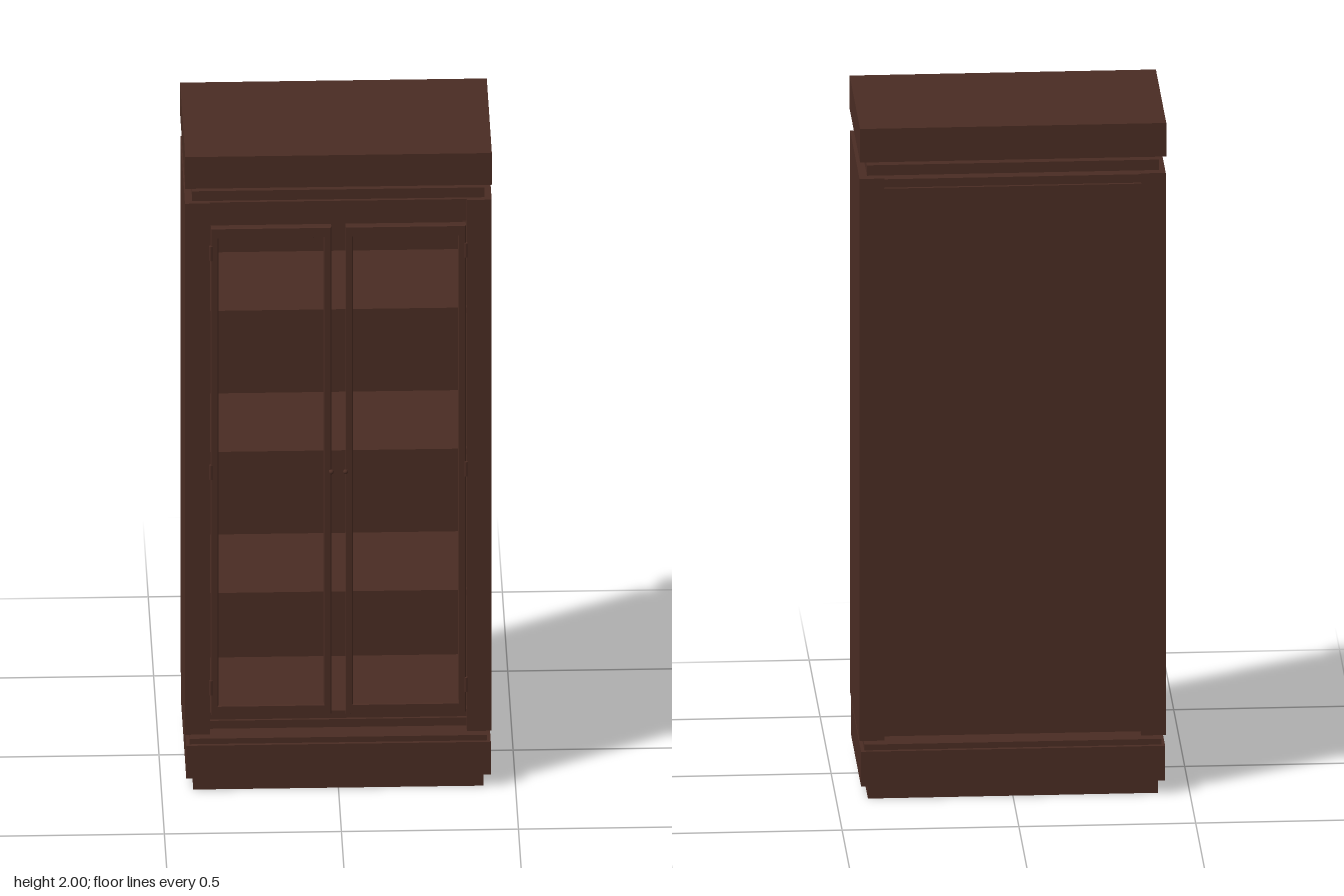
import * as THREE from 'three';

export function createModel() {
  const model = new THREE.Group();
  model.name = 'displayCabinet';
  const wood = new THREE.MeshStandardMaterial({ color: 0x4a2c23 });
  wood.name = 'dark brown wood';

  function add(name, geometry, parent = model) {
    const mesh = new THREE.Mesh(geometry, wood);
    mesh.name = name;
    parent.add(mesh);
    return mesh;
  }
  // Box given by its limits on each axis
  function box(name, x0, x1, y0, y1, z0, z1, parent) {
    const mesh = add(name, new THREE.BoxGeometry(x1 - x0, y1 - y0, z1 - z0), parent);
    mesh.position.set((x0 + x1) / 2, (y0 + y1) / 2, (z0 + z1) / 2);
    return mesh;
  }

  // Plinth
  box('plinthFoot', -0.41, 0.41, 0, 0.04, -0.227, 0.222);
  box('plinth', -0.43, 0.43, 0.04, 0.143, -0.237, 0.232);
  box('plinthCap', -0.42, 0.42, 0.143, 0.16, -0.225, 0.222);

  // Crown
  box('crownMoulding', -0.413, 0.413, 1.857, 1.888, -0.23, 0.224);
  box('crown', -0.433, 0.433, 1.9, 2, -0.24, 0.232);

  // Carcass
  box('floorBoard', -0.364, 0.364, 0.18, 0.205, -0.214, 0.2);
  box('topBoard', -0.364, 0.364, 1.79, 1.84, -0.214, 0.2);
  box('topStrip', -0.364, 0.364, 1.768, 1.79, 0.17, 0.192);
  box('bottomStrip', -0.364, 0.364, 0.205, 0.228, 0.17, 0.192);
  box('backPanel', -0.364, 0.364, 0.19, 1.815, -0.223, -0.2);
  for (const y of [0.575, 1.02, 1.465]) {
    box('shelf', -0.364, 0.364, y, y + 0.018, -0.2, 0.17);
  }

  // Sides, doors, knobs and hinges
  for (const side of [-1, 1]) {
    const name = side > 0 ? 'left' : 'right';
    const panel = box(name + 'Side', -0.035, 0.035, 0.168, 1.843, -0.216, 0.212);
    panel.position.x = side * 0.398;

    const door = new THREE.Group();
    door.name = name + 'Door';
    model.add(door);

    // Door frame with an open pane
    const rect = (Type, x0, x1, y0, y1) => {
      const path = new Type();
      path.moveTo(x0, y0);
      path.lineTo(x1, y0);
      path.lineTo(x1, y1);
      path.lineTo(x0, y1);
      path.closePath();
      return path;
    };
    const cx = side * 0.19;
    const frame = rect(THREE.Shape, cx - 0.17, cx + 0.17, 0.232, 1.768);
    frame.holes.push(rect(THREE.Path, cx - 0.149, cx + 0.149, 0.262, 1.735));
    const frameMesh = add('doorFrame', new THREE.ExtrudeGeometry(frame, {
      depth: 0.017, bevelEnabled: true, bevelThickness: 0.004, bevelSize: 0.002,
      bevelOffset: -0.002, bevelSegments: 1,
    }), door);
    frameMesh.position.z = 0.201;

    // Knob
    const knob = add('knob', new THREE.SphereGeometry(0.007, 12, 8), door);
    knob.position.set(side * 0.02, 1, 0.23);
    const stem = add('knobStem', new THREE.CylinderGeometry(0.003, 0.003, 0.012, 8), door);
    stem.rotation.x = Math.PI / 2;
    stem.position.set(side * 0.024, 1, 0.224);

    // Hinges
    for (const y of [0.32, 1, 1.69]) {
      const hinge = add('hinge', new THREE.CylinderGeometry(0.005, 0.005, 0.045, 8), door);
      hinge.position.set(side * 0.36, y, 0.221);
    }
  }
  return model;
}
